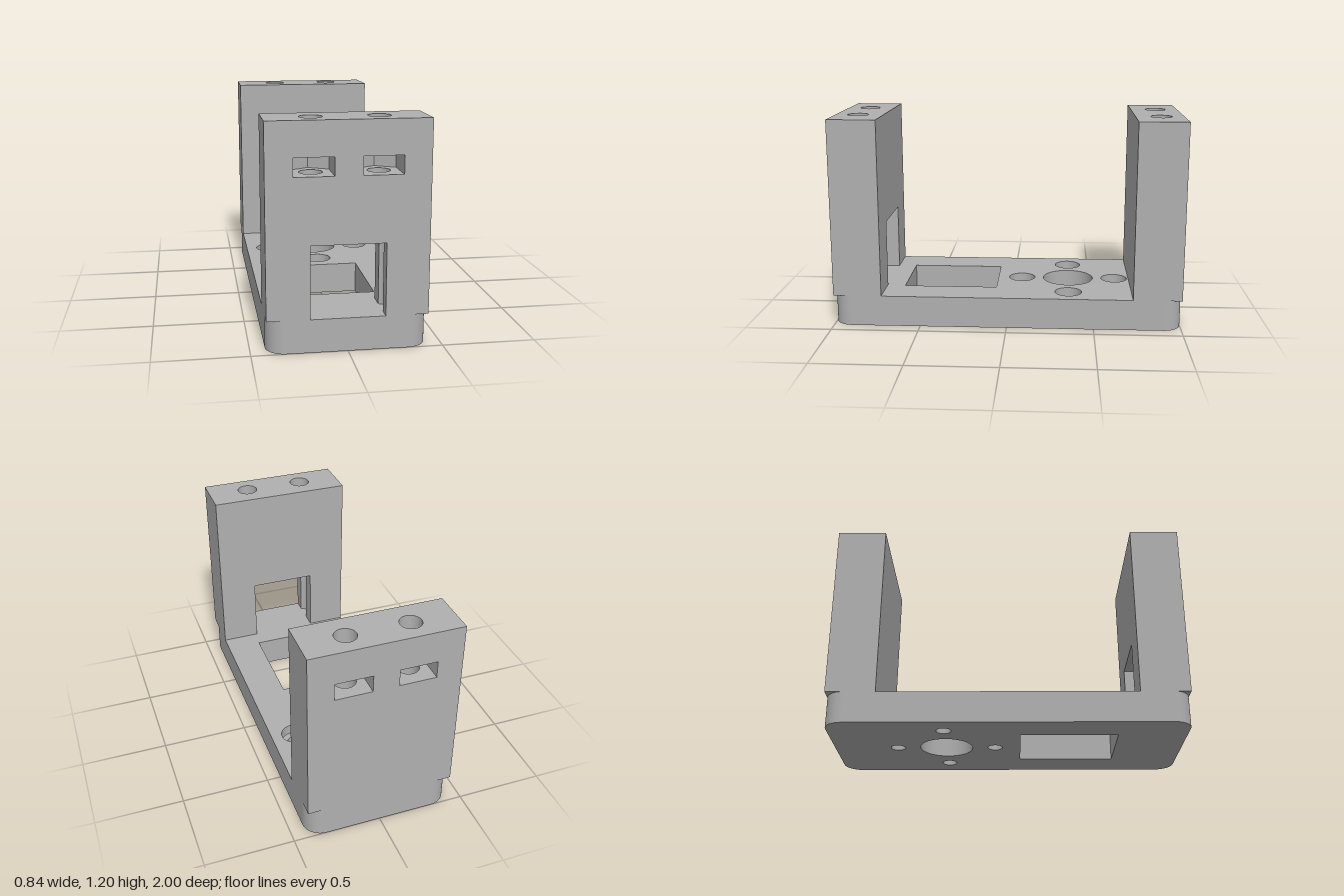
import * as THREE from 'three';
import { toCreasedNormals } from 'three/addons/utils/BufferGeometryUtils.js';

const W = 0.42;                     // half width
const BASE = 0.178, TOP = 1.195;    // base thickness, full height
const IN = 0.722, OUT = 1;          // inner and outer face of each upright
const BOLT_X = 0.175, BOLT_Z = 0.87, BOLT_R = 0.06;
const DOOR_W = 0.195, DOOR_TOP = 0.565;
const NUT_LOW = 0.915, NUT_HIGH = 1.012, NUT_HALF = 0.103;

export function createModel() {
  const grey = new THREE.MeshStandardMaterial({ color: 0xb0b0b0 });
  grey.name = 'grey';
  const model = new THREE.Group();
  model.name = 'bracket';

  // Plan outline (x, -z) extruded upwards from y0 to y1
  const layer = (parent, name, shapes, y0, y1) => {
    const geo = new THREE.ExtrudeGeometry(shapes, { depth: y1 - y0, bevelEnabled: false, curveSegments: 32 });
    geo.rotateX(-Math.PI / 2).translate(0, y0, 0);
    const mesh = new THREE.Mesh(toCreasedNormals(geo, 0.5), grey);
    mesh.name = name;
    parent.add(mesh);
  };
  const polygon = (pts) => new THREE.Shape(pts.map(([x, y]) => new THREE.Vector2(x, y)));
  const circle = (x, y, r) => new THREE.Path().absarc(x, y, r, 0, Math.PI * 2, true);

  // Base plate: rounded corners, window, centre bore and four screw holes
  const baseShape = (screwR) => {
    const r = 0.105, s = new THREE.Shape();
    s.absarc(W - r, 1 - r, r, 0, Math.PI / 2);
    s.absarc(-W + r, 1 - r, r, Math.PI / 2, Math.PI);
    s.absarc(-W + r, -1 + r, r, Math.PI, Math.PI * 1.5);
    s.absarc(W - r, -1 + r, r, Math.PI * 1.5, Math.PI * 2);
    s.closePath();
    s.holes.push(polygon([[-0.213, -0.07], [-0.213, -0.615], [0.213, -0.615], [0.213, -0.07]]));
    s.holes.push(circle(0, 0.355, 0.15));
    for (const [dx, dy] of [[1, 0], [-1, 0], [0, 1], [0, -1]])
      s.holes.push(circle(dx * 0.28, 0.355 + dy * 0.28, screwR));
    return s;
  };
  const seat = BASE - 0.06;
  layer(model, 'basePlateLower', baseShape(0.042), 0, seat);
  layer(model, 'basePlateCounterbores', baseShape(0.078), seat, BASE);

  // Slab drilled for the two vertical bolts
  const drilled = () => {
    const s = polygon([[-W, IN], [W, IN], [W, OUT], [-W, OUT]]);
    for (const x of [-BOLT_X, BOLT_X]) s.holes.push(circle(x, BOLT_Z, BOLT_R));
    return s;
  };

  // Slab with hexagon-ended nut slots open to the outer face
  const slotted = () => {
    const pts = [[-W, IN], [W, IN], [W, OUT]];
    const corner = NUT_HALF / Math.cos(Math.PI / 6);
    for (const x of [BOLT_X, -BOLT_X])
      pts.push([x + NUT_HALF, OUT], [x + NUT_HALF, BOLT_Z - corner / 2], [x, BOLT_Z - corner],
        [x - NUT_HALF, BOLT_Z - corner / 2], [x - NUT_HALF, OUT]);
    pts.push([-W, OUT]);
    return polygon(pts);
  };

  // Door jamb with the bolt bore breaking through as a groove
  const jamb = (side) => {
    const a = Math.acos((DOOR_W - BOLT_X) / BOLT_R);
    const pts = [[DOOR_W, IN], [W, IN], [W, OUT], [DOOR_W, OUT]];
    for (let i = 0; i <= 20; i++) {
      const t = a - (2 * a * i) / 20;
      pts.push([BOLT_X + BOLT_R * Math.cos(t), BOLT_Z + BOLT_R * Math.sin(t)]);
    }
    return polygon(pts.map(([x, y]) => [side * x, y]));
  };

  // Uprights: the back one is solid below, the front one has a doorway
  for (const name of ['backUpright', 'frontUpright']) {
    const front = name === 'frontUpright';
    const upright = new THREE.Group();
    upright.name = name;
    layer(upright, 'lowerWall', front ? [jamb(1), jamb(-1)] : drilled(), BASE, DOOR_TOP);
    layer(upright, 'middleWall', drilled(), DOOR_TOP, NUT_LOW);
    layer(upright, 'nutSlots', slotted(), NUT_LOW, NUT_HIGH);
    layer(upright, 'topWall', drilled(), NUT_HIGH, TOP);
    if (front) upright.rotation.y = Math.PI;
    model.add(upright);
  }
  return model;
}
